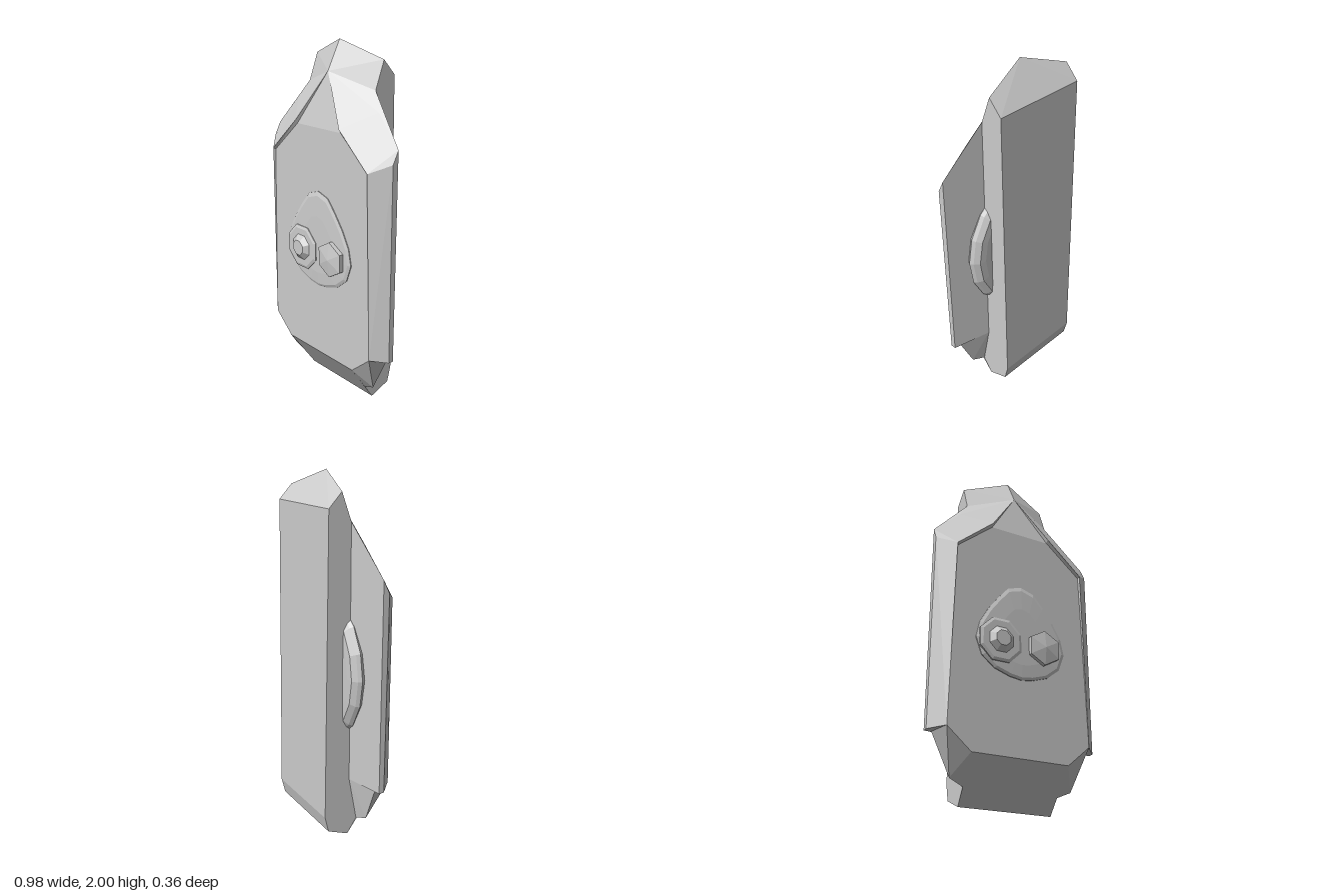
import * as THREE from 'three';

const material = new THREE.MeshStandardMaterial({ color: 0xcccccc, flatShading: true });

// Flat polygons given for the +x half, mirrored to -x
function mirroredFaces(name, faces) {
  const pos = [];
  for (const f of faces) {
    for (let i = 1; i < f.length - 1; i++) {
      const tri = [f[0], f[i], f[i + 1]];
      tri.forEach((p) => pos.push(...p));
      [tri[0], tri[2], tri[1]].forEach(([x, y, z]) => pos.push(-x, y, z));
    }
  }
  return meshFrom(name, pos);
}

function meshFrom(name, pos) {
  const g = new THREE.BufferGeometry();
  g.setAttribute('position', new THREE.Float32BufferAttribute(pos, 3));
  g.computeVertexNormals();
  const m = new THREE.Mesh(g, material);
  m.name = name;
  return m;
}

// Stack of scaled copies [scale, z] of a counter-clockwise outline, back to front, capped at both ends
function loft(name, outline, cy, rings) {
  const pos = [];
  const n = outline.length;
  const at = ([s, z], i) => [outline[i % n][0] * s, cy + (outline[i % n][1] - cy) * s, z];
  const all = [[0, rings[0][1]], ...rings, [0, rings[rings.length - 1][1]]];
  for (let r = 0; r < all.length - 1; r++) {
    for (let i = 0; i < n; i++) {
      const a = at(all[r], i), b = at(all[r], i + 1);
      const c = at(all[r + 1], i + 1), d = at(all[r + 1], i);
      if (all[r][0] > 0) pos.push(...a, ...b, ...c);
      if (all[r + 1][0] > 0) pos.push(...a, ...c, ...d);
    }
  }
  return meshFrom(name, pos);
}

// Faceted stud facing +z
function stud(name, x, y, z0, z1, r0, r1, sides, turn) {
  const g = new THREE.CylinderGeometry(r1, r0, z1 - z0, sides);
  g.rotateY(turn).rotateX(Math.PI / 2);
  const m = new THREE.Mesh(g, material);
  m.position.set(x, y, (z0 + z1) / 2);
  m.name = name;
  return m;
}

export function createModel() {
  const group = new THREE.Group();
  const mid = ([, y, z]) => [0, y, z];

  // Corner points of the +x half
  const peak = [0, 2, -0.02], brow = [0, 1.84, 0.06], crown = [0.267, 1.91, -0.085];
  const neck = [0.267, 1.76, -0.03], neckLow = [0.33, 1.66, 0.005];
  const step = [0.18, 1.57, 0.14], stepLow = [0.18, 1.55, 0.127];
  const shoulder = [0.395, 1.38, 0.14], plateTop = [0.39, 1.37, 0.127];
  const railTop = [0.49, 1.43, 0.055], railTopBack = [0.49, 1.5, 0.02];
  const railEnd = [0.49, 0.34, 0.05], railEndBack = [0.49, 0.34, 0.02];
  const plateSide = [0.415, 0.35, 0.127], plateLow = [0.28, 0.235, 0.127];
  const hip = [0.45, 0.34, 0.02], hipLow = [0.35, 0.12, 0.03], foot = [0.267, 0.085, 0.018];
  const toe = [0.267, 0, -0.04], heel = [0.267, 0.05, -0.162], heelTop = [0.267, 0.14, -0.184];
  const nape = [0.267, 1.83, -0.16], inner = [0.267, 0.34, -0.03];

  // Raised shoulders and head
  group.add(mirroredFaces('shoulders', [
    [peak, brow, crown], [brow, neck, crown], [brow, neckLow, neck], [brow, step, neckLow],
    [step, shoulder, neckLow], [shoulder, railTopBack, neckLow], [shoulder, railTop, railTopBack],
    [brow, mid(stepLow), stepLow], [brow, stepLow, step],
    [step, stepLow, plateTop, shoulder],
  ]));

  // Front plate with its lower chamfers
  group.add(mirroredFaces('frontPlate', [
    [mid(stepLow), mid(plateLow), plateLow, plateSide, plateTop, stepLow],
    [plateSide, plateLow, hipLow, hip],
    [plateLow, mid(plateLow), mid(toe), toe, foot, hipLow],
  ]));

  // Bevelled side rails and the back of the shell
  group.add(mirroredFaces('sideRails', [
    [plateSide, railEnd, railTop, shoulder], [plateSide, shoulder, plateTop],
    [railEnd, railEndBack, railTopBack, railTop],
    [plateSide, [0.415, 0.34, 0.02], railEndBack, railEnd],
    [neck, neckLow, railTopBack, railEndBack, inner],
    [inner, railEndBack, hip, hipLow, foot],
  ]));

  // Spine block behind the shell
  group.add(mirroredFaces('spine', [
    [heelTop, nape, crown, neck, inner, foot, toe, heel],
    [peak, crown, nape, mid(nape)],
    [mid(nape), nape, heelTop, mid(heelTop)],
    [mid(heelTop), heelTop, heel, mid(heel)],
    [mid(heel), heel, toe, mid(toe)],
  ]));

  // Lens that bulges out of both sides of the spine
  const oval = Array.from({ length: 18 }, (_, i) => {
    const a = (i / 18) * Math.PI * 2;
    return [0.39 * Math.cos(a), 0.95 + 0.43 * Math.sin(a)];
  });
  group.add(loft('sideLens', oval, 0.95, [[0.8, -0.076], [0.9, -0.073], [0.97, -0.05], [1, -0.03], [0.92, 0.015]]));

  // Egg-shaped boss on the front
  const half = [[0.07, 0.665], [0.16, 0.695], [0.235, 0.755], [0.27, 0.85], [0.25, 0.94],
    [0.2, 1.03], [0.14, 1.11], [0.08, 1.18]];
  const egg = [[0, 0.655], ...half, [0, 1.205], ...half.map(([x, y]) => [-x, y]).reverse()];
  group.add(loft('frontBoss', egg, 0.86, [[1, 0.115], [1, 0.132], [0.93, 0.139], [0.6, 0.143]]));

  // Octagonal and hexagonal studs
  const e = Math.PI / 8;
  group.add(stud('octagonBase', -0.13, 0.855, 0.13, 0.147, 0.132, 0.132, 8, e));
  group.add(stud('octagonRim', -0.13, 0.855, 0.147, 0.153, 0.132, 0.115, 8, e));
  group.add(stud('octagonKnob', -0.13, 0.855, 0.15, 0.178, 0.08, 0.045, 8, e));
  group.add(stud('hexagonBase', 0.13, 0.855, 0.13, 0.166, 0.1, 0.1, 6, 0));
  group.add(stud('hexagonTip', 0.13, 0.855, 0.166, 0.18, 0.1, 0, 6, 0));

  return group;
}
